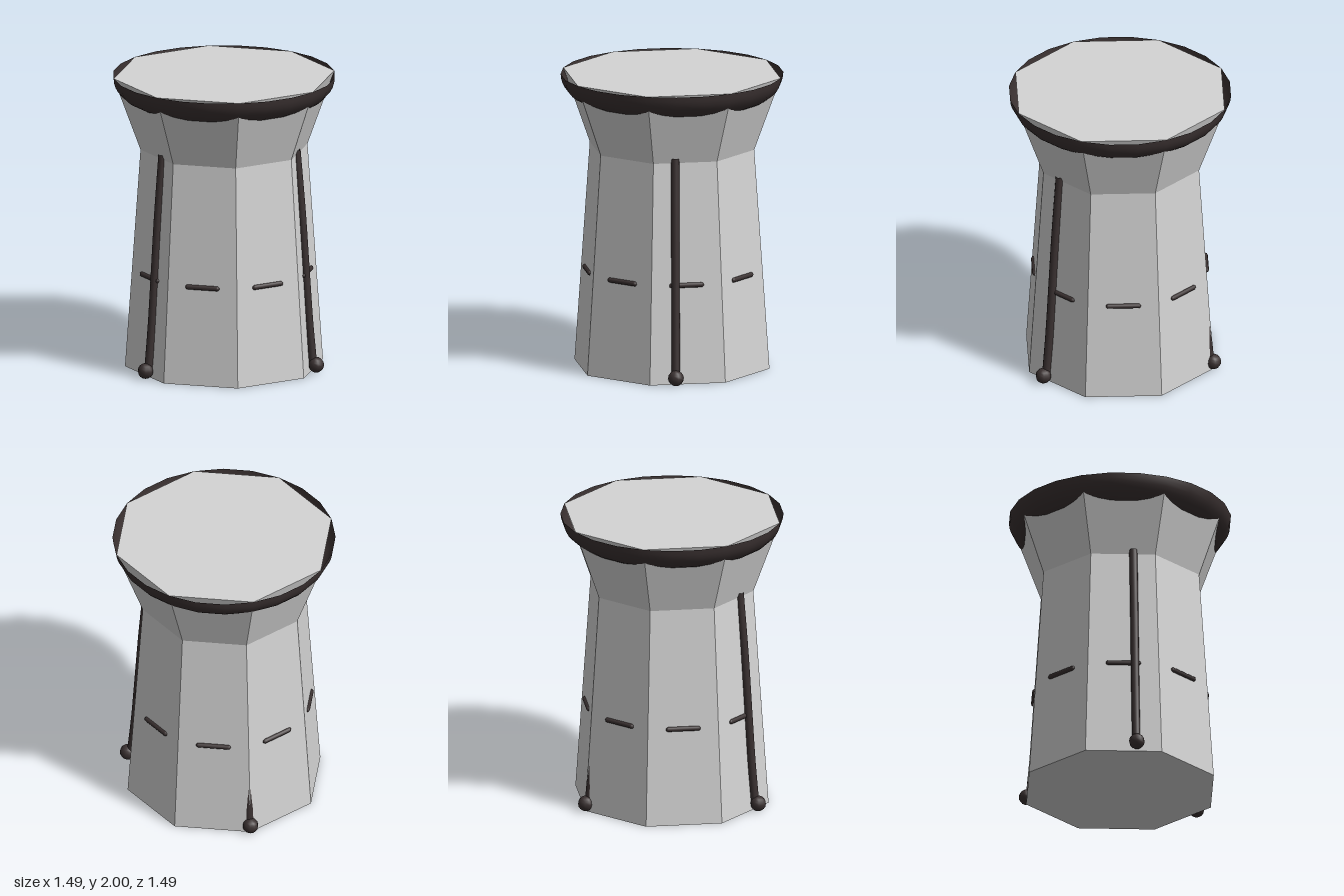
import * as THREE from 'three';

export function createModel() {
  const group = new THREE.Group();
  const grey = new THREE.MeshStandardMaterial({ color: 0xd4d4d4 });
  grey.name = 'light grey cloth';
  const dark = new THREE.MeshStandardMaterial({ color: 0x3a3131, side: THREE.DoubleSide });
  dark.name = 'dark brown trim';

  const add = (name, geometry, material, parent = group) => {
    const mesh = new THREE.Mesh(geometry, material);
    mesh.name = name;
    parent.add(mesh);
    return mesh;
  };
  const points = (list) => list.map(([x, y]) => new THREE.Vector2(x, y));

  // Eight-sided tapered body with a flared collar, faceted
  const body = new THREE.LatheGeometry(
    points([[0, 0], [0.67, 0], [0.565, 1.5], [0.747, 2], [0, 2]]), 8).toNonIndexed();
  body.computeVertexNormals();
  add('body', body, grey);

  // Round rim: the lower half of a ring, showing between the collar corners
  const arc = [];
  for (let i = 0; i <= 8; i++) {
    const a = (i / 8) * Math.PI / 2;
    arc.push([0.577 + 0.17 * Math.sin(a), 2 - 0.17 * Math.cos(a)]);
  }
  add('rim', new THREE.LatheGeometry(points(arc), 24), dark);

  // One horizontal stitch in the middle of each side
  const stitchShape = new THREE.CapsuleGeometry(0.017, 0.202, 3, 8).rotateZ(Math.PI / 2);
  for (let i = 0; i < 8; i++) {
    const a = (i + 0.5) * Math.PI / 4;
    const stitch = add('stitch', stitchShape, dark);
    stitch.position.set(0.576 * Math.sin(a), 0.67, 0.576 * Math.cos(a));
    stitch.rotation.y = a;
  }

  // Three cords with a bead at the foot, a third of a turn apart
  const path = new THREE.CatmullRomCurve3([
    [0.05, 0.644], [0.35, 0.615], [0.67, 0.592], [1.1, 0.562], [1.53, 0.524],
  ].map(([y, r]) => new THREE.Vector3(0, y, r)));
  const cordShape = new THREE.TubeGeometry(path, 16, 0.028, 10);
  const beadShape = new THREE.SphereGeometry(0.053, 10, 8);
  for (let i = 0; i < 3; i++) {
    const cord = new THREE.Group();
    cord.name = 'cord';
    cord.rotation.y = Math.PI / 3 + i * Math.PI * 2 / 3;
    add('cordStrand', cordShape, dark, cord);
    add('cordBead', beadShape, dark, cord).position.set(0, 0.053, 0.667);
    group.add(cord);
  }
  return group;
}
